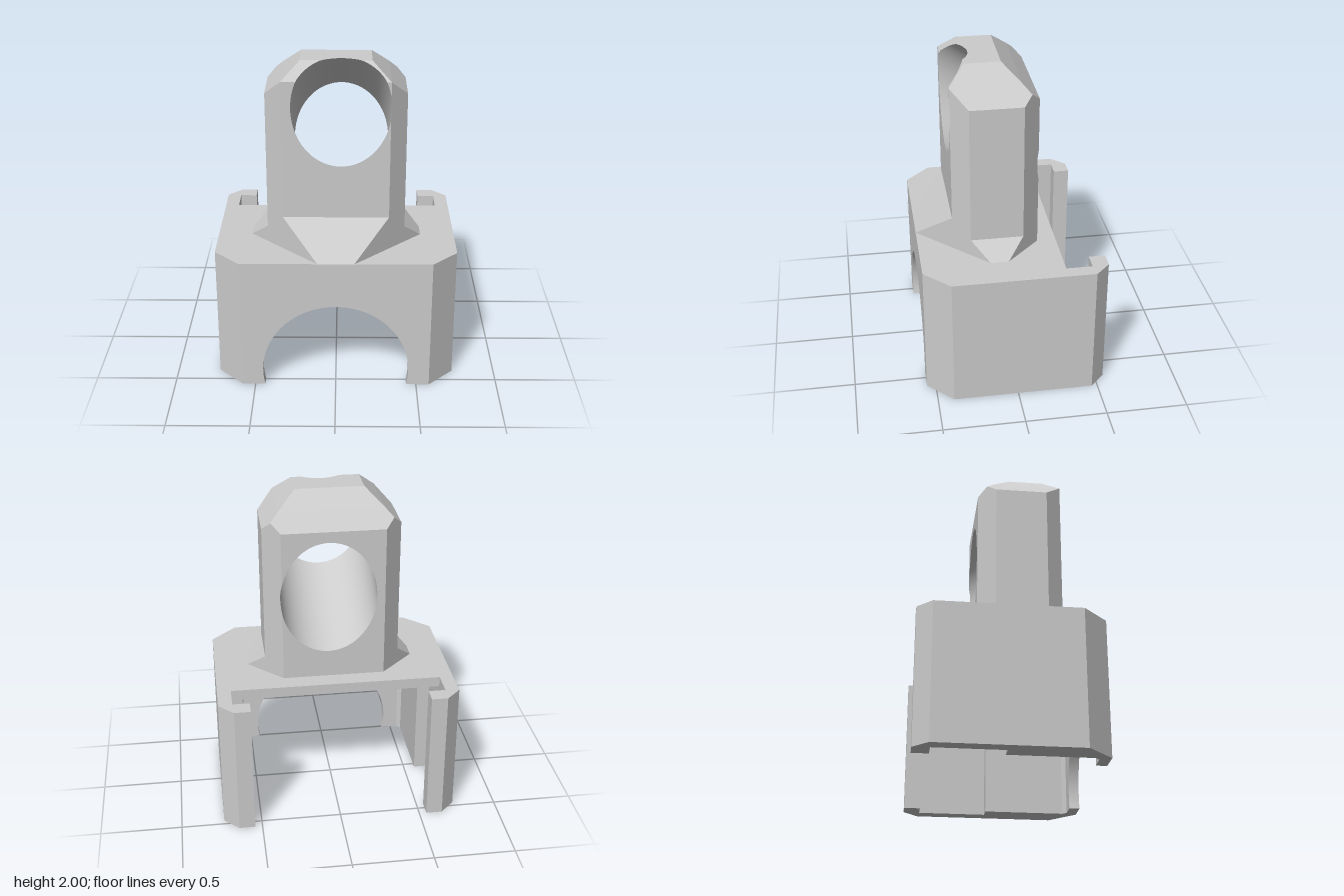
import * as THREE from 'three';

const SEG = 72;
const HOLE = { x: 0.03, y: 1.74, rx: 0.295, ry: 0.36, slope: 0.7, z: 0.345 };

// Slanted bore outline, measured on the plane z = HOLE.z
const boreRing = Array.from({ length: SEG }, (_, i) => {
  const t = (i / SEG) * Math.PI * 2;
  return [HOLE.x + HOLE.rx * Math.cos(t), HOLE.y + HOLE.ry * Math.sin(t)];
});

// Solid with a plan outline given as [x, z] points, between two heights
function slab(points, y0, y1) {
  const shape = new THREE.Shape(points.map(([x, z]) => new THREE.Vector2(x, -z)));
  const geo = new THREE.ExtrudeGeometry(shape, { depth: y1 - y0, bevelEnabled: false });
  return geo.rotateX(-Math.PI / 2).translate(0, y0, 0);
}

// Half outline of the bracket: outer wall, rear hook, then inner slot
const outer = [[0.58, 0.555], [0.735, 0.4], [0.735, -0.465], [0.645, -0.555],
  [0.545, -0.555], [0.545, -0.455], [0.65, -0.455]];
const flip = pts => pts.map(([x, z]) => [-x, z]);
const bracket = depth => {
  const half = [...outer, [0.65, depth]];
  return [...half, ...flip(half).reverse()];
};

// Cut the convex prism of the bore out of a planar polygon
function cutBore(poly) {
  const pieces = [];
  let rest = poly;
  for (let i = 0; i < SEG && rest.length > 2; i++) {
    const [ax, ay] = boreRing[i], [bx, by] = boreRing[(i + 1) % SEG];
    const side = p => (bx - ax) * (p.y - HOLE.slope * (p.z - HOLE.z) - ay) - (by - ay) * (p.x - ax);
    const inside = [], outside = [];
    rest.forEach((p, k) => {
      const q = rest[(k + 1) % rest.length];
      const dp = side(p), dq = side(q);
      (dp >= 0 ? inside : outside).push(p);
      if (dp >= 0 !== dq >= 0) {
        const m = p.clone().lerp(q, dp / (dp - dq));
        inside.push(m);
        outside.push(m);
      }
    });
    if (outside.length > 2) pieces.push(outside);
    rest = inside;
  }
  return pieces;
}

// Tower section: half width sx, front zf, back zb, trimmed by fixed corner planes
function towerRing([y, sx, zf, zb]) {
  const half = [
    [sx, Math.max(zb, sx - 0.495)],
    [sx, Math.min(zf, 0.665 - sx)],
    [Math.min(sx, 0.665 - zf), zf],
  ];
  const back = [Math.min(sx, 0.495 + zb), zb];
  return [...half, ...flip(half).reverse(), [-back[0], back[1]], back]
    .map(([x, z]) => new THREE.Vector3(x, y, z));
}

function towerGeometry() {
  const rings = [
    [0.84, 0.525, 0.555, -0.18],
    [0.945, 0.42, 0.45, -0.18],
    [1.05, 0.42, 0.345, -0.18],
    [1.8, 0.42, 0.345, -0.18],
    [1.85, 0.37, 0.345, -0.13],
    [1.9, 0.32, 0.345, -0.08],
    [2.0, 0.21, 0.245, 0.03],
  ].map(towerRing);
  const faces = [[...rings[rings.length - 1]].reverse()];
  for (let r = 0; r < rings.length - 1; r++) {
    for (let i = 0; i < 8; i++) {
      const j = (i + 1) % 8;
      faces.push([rings[r][i], rings[r + 1][i], rings[r + 1][j], rings[r][j]]);
    }
  }
  const pos = [];
  const a = new THREE.Vector3(), b = new THREE.Vector3();
  for (const poly of faces.flatMap(cutBore)) {
    for (let i = 1; i < poly.length - 1; i++) {
      a.subVectors(poly[i], poly[0]);
      b.subVectors(poly[i + 1], poly[0]);
      if (a.cross(b).length() < 1e-9) continue;
      for (const p of [poly[0], poly[i], poly[i + 1]]) pos.push(p.x, p.y, p.z);
    }
  }
  const geo = new THREE.BufferGeometry();
  geo.setAttribute('position', new THREE.Float32BufferAttribute(pos, 3));
  geo.computeVertexNormals();
  return geo;
}

// Bore wall: each line runs from the back face to the first front or top face it meets
function boreGeometry() {
  const pos = [], index = [];
  const k = HOLE.slope;
  boreRing.forEach(([x, y], i) => {
    const y0 = y - k * HOLE.z;
    const ax = Math.abs(x);
    const z0 = Math.max(-0.18, ax - 0.495);
    const z1 = Math.min(0.345, 0.665 - ax, (2 - y0) / k, (2.245 - y0) / (1 + k), (2.22 - ax - y0) / k);
    pos.push(x, y0 + k * z0, z0, x, y0 + k * z1, z1);
    const b = 2 * i, c = 2 * ((i + 1) % SEG);
    index.push(b, b + 1, c + 1, b, c + 1, c);
  });
  const geo = new THREE.BufferGeometry();
  geo.setAttribute('position', new THREE.Float32BufferAttribute(pos, 3));
  geo.setIndex(index);
  geo.computeVertexNormals();
  return geo;
}

// Thin front wall with the round arch
function archGeometry() {
  const a = Math.asin(0.1 / 0.45);
  const s = new THREE.Shape();
  s.moveTo(-0.57, 0);
  s.lineTo(-0.45 * Math.cos(a), 0);
  s.absarc(0, 0.1, 0.45, Math.PI + a, -a, true);
  s.lineTo(0.57, 0);
  s.lineTo(0.57, 0.675);
  s.lineTo(-0.57, 0.675);
  return new THREE.ExtrudeGeometry(s, { depth: 0.065, bevelEnabled: false, curveSegments: 64 })
    .translate(0, 0, 0.49);
}

export function createModel() {
  const group = new THREE.Group();
  const mat = new THREE.MeshStandardMaterial({ color: 0xcccccc });
  const add = (name, geo) => {
    const mesh = new THREE.Mesh(geo, mat);
    mesh.name = name;
    group.add(mesh);
  };

  // Bracket: top plate, deeper slot below it, then side walls and front wall
  add('topPlate', slab(bracket(-0.295), 0.775, 0.84));
  add('steppedCeiling', slab(bracket(-0.035), 0.675, 0.775));
  const wall = [...outer, [0.65, -0.035], [0.57, -0.035], [0.57, 0.465], [0.545, 0.49], [0.545, 0.555]];
  add('leftWall', slab(wall, 0, 0.675));
  add('rightWall', slab(flip(wall), 0, 0.675));
  add('archedFrontWall', archGeometry());

  // Tower with its slanted bore
  add('tower', towerGeometry());
  add('boreWall', boreGeometry());
  return group;
}
